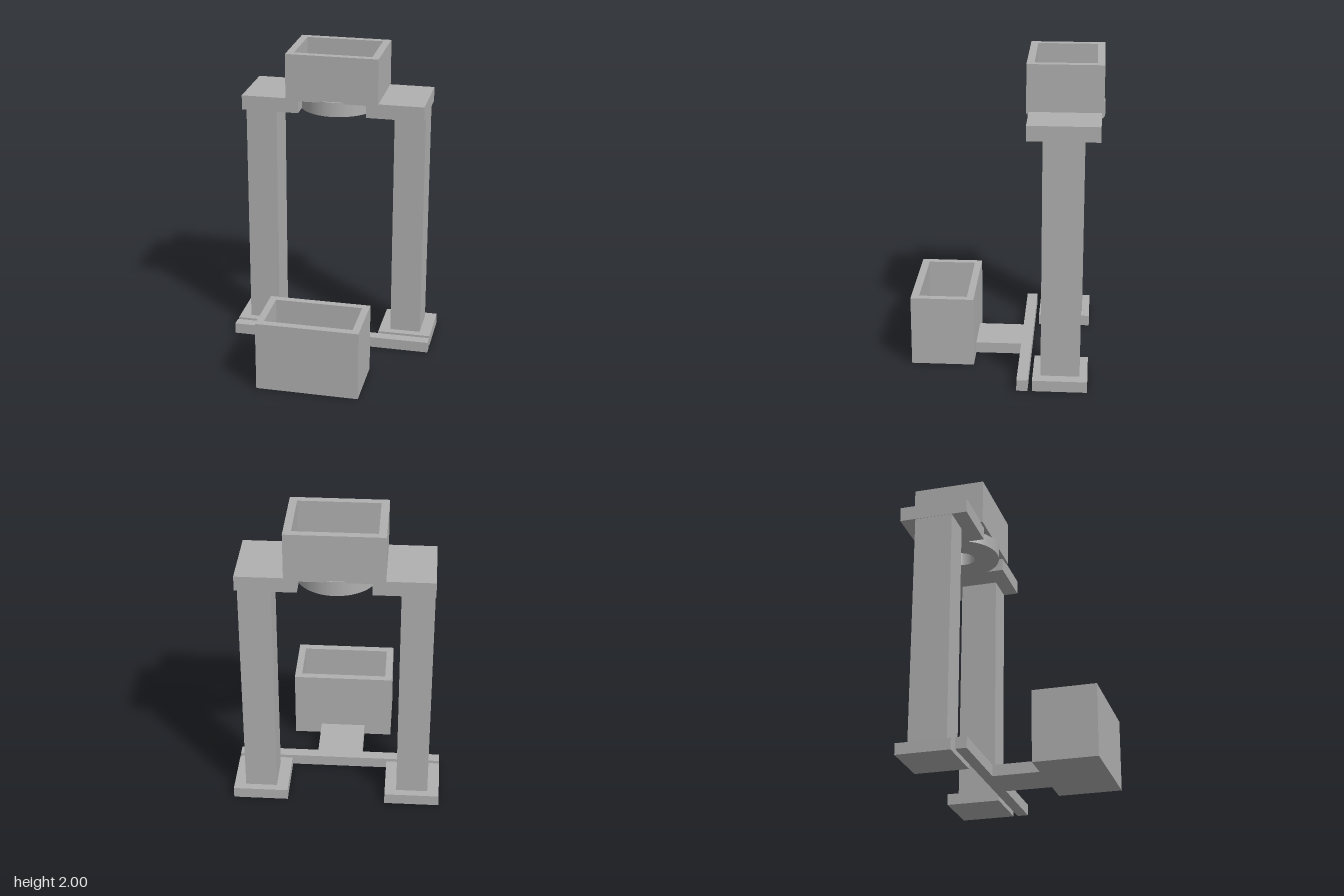
import * as THREE from 'three';

const grey = new THREE.MeshStandardMaterial({ color: 0xb0b0b0 });
grey.name = 'plain grey';

function add(parent, name, geometry) {
  const mesh = new THREE.Mesh(geometry, grey);
  mesh.name = name;
  parent.add(mesh);
  return mesh;
}

// Box given by its limits on each axis
function block(parent, name, [x0, x1], [y0, y1], [z0, z1]) {
  const mesh = add(parent, name, new THREE.BoxGeometry(x1 - x0, y1 - y0, z1 - z0));
  mesh.position.set((x0 + x1) / 2, (y0 + y1) / 2, (z0 + z1) / 2);
  return mesh;
}

// Plan outline (x, -z) raised from y0 to y1
function raise(parent, name, shape, y0, y1) {
  const geometry = new THREE.ExtrudeGeometry(shape, { depth: y1 - y0, bevelEnabled: false, curveSegments: 48 });
  geometry.rotateX(-Math.PI / 2).translate(0, y0, 0);
  return add(parent, name, geometry);
}

const outline = (points) => points.map(([x, z]) => new THREE.Vector2(x, -z));
const rect = (w, z0, z1) => outline([[-w, z1], [w, z1], [w, z0], [-w, z0]]);

// Rectangular wall open at top and bottom
function frame(parent, name, w, z0, z1, wi, zi0, zi1, y0, y1) {
  const shape = new THREE.Shape(rect(w, z0, z1));
  shape.holes.push(new THREE.Path(rect(wi, zi0, zi1).reverse()));
  return raise(parent, name, shape, y0, y1);
}

export function createModel() {
  const model = new THREE.Group();
  model.name = 'hopperStand';

  // Feet, posts and top plates, mirrored left and right
  for (const [side, s] of [['left', 1], ['right', -1]]) {
    const span = (a, b) => (s > 0 ? [a, b] : [-b, -a]);
    block(model, side + 'Foot', span(0.315, 0.667), [0, 0.072], [-0.534, -0.19]);
    block(model, side + 'Post', span(0.39, 0.592), [0.072, 1.608], [-0.484, -0.24]);
    block(model, side + 'TopPlate', span(0.222, 0.594), [1.608, 1.703], [-0.585, -0.142]);
  }

  // Ring between the top plates
  const ring = new THREE.Shape().absarc(0, 0.361, 0.247, 0, Math.PI * 2);
  ring.holes.push(new THREE.Path().absarc(0, 0.361, 0.083, 0, Math.PI * 2, true));
  raise(model, 'outletRing', ring, 1.608, 1.703);

  // Upper hopper, open through to the ring
  frame(model, 'upperHopper', 0.3, -0.6, -0.127, 0.252, -0.554, -0.174, 1.693, 2);

  // T-shaped floor bar reaching forward to the lower bin
  const tee = new THREE.Shape(outline([
    [-0.667, -0.093], [-0.149, -0.093], [-0.149, 0.204], [0.149, 0.204],
    [0.149, -0.093], [0.667, -0.093], [0.667, -0.163], [-0.667, -0.163],
  ]));
  raise(model, 'floorBar', tee, 0, 0.072);

  // Lower bin: walls and a floor
  const bin = new THREE.Group();
  bin.name = 'lowerBin';
  model.add(bin);
  frame(bin, 'binWalls', 0.33, 0.203, 0.607, 0.284, 0.249, 0.557, 0, 0.459);
  block(bin, 'binFloor', [-0.284, 0.284], [0, 0.05], [0.249, 0.557]);

  return model;
}
